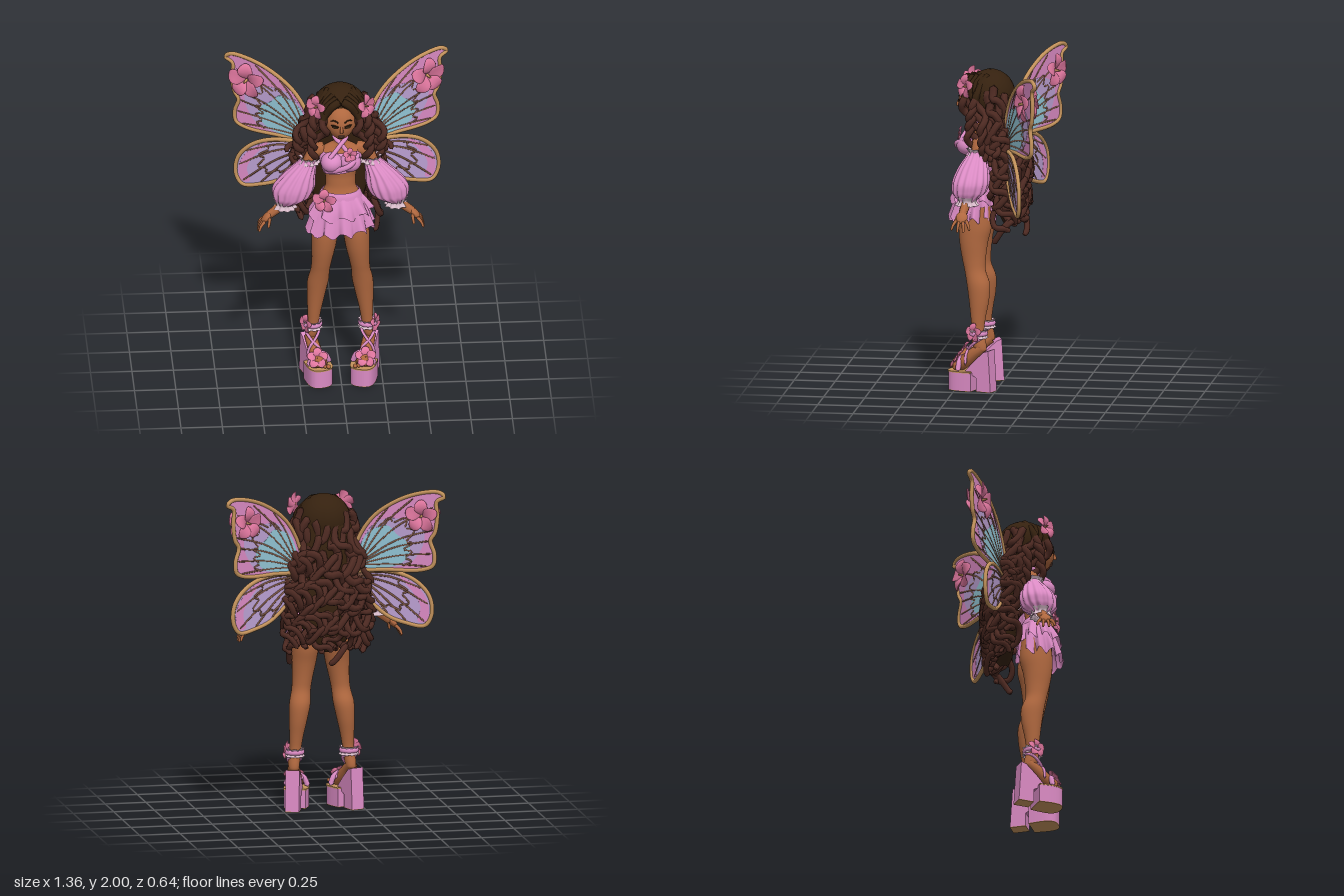
import * as THREE from 'three';
import { mergeGeometries } from 'three/addons/utils/BufferGeometryUtils.js';

const paint = (name, color, side = THREE.FrontSide) => {
  const m = new THREE.MeshStandardMaterial({ color, side });
  m.name = name;
  return m;
};
const V = (x, y, z) => new THREE.Vector3(x, y, z);

export function createModel() {
  const model = new THREE.Group();
  const skin = paint('skin', 0xb0683f), darkHair = paint('darkHair', 0x35210f), curl = paint('curlBrown', 0x4e2a22);
  const pink = paint('pink', 0xdb8bc4, THREE.DoubleSide), rose = paint('rose', 0xe0779f), gold = paint('gold', 0xc4935c);
  const lilac = paint('lilac', 0xbba0d2), cyan = paint('cyan', 0x93c6d6), pale = paint('paleTrim', 0xd9bccb, THREE.DoubleSide);
  const brown = paint('brown', 0x7a5442);

  const add = (name, geo, mat, parent = model) => {
    const mesh = new THREE.Mesh(geo, mat);
    mesh.name = name;
    parent.add(mesh);
    return mesh;
  };
  const curve = (pts, closed = false) => new THREE.CatmullRomCurve3(pts.map(p => p.isVector3 ? p : V(...p)), closed);

  // Smooth skin through elliptical rings [y, cx, cz, rx, rz], listed top down
  const loft = (rings, steps = 32, seg = 28, ripple = () => 1, drop = () => 0) => {
    const mid = curve(rings.map(r => [r[1], r[0], r[2]])), rad = curve(rings.map(r => [r[3], r[4], 0]));
    const pos = [], idx = [];
    for (let i = 0; i <= steps; i++) {
      const t = i / steps, c = mid.getPoint(t), r = rad.getPoint(t);
      for (let j = 0; j < seg; j++) {
        const a = j / seg * Math.PI * 2, k = ripple(a, t);
        pos.push(c.x + r.x * k * Math.sin(a), c.y + drop(a, t), c.z + r.y * k * Math.cos(a));
        const n = (j + 1) % seg, p = i * seg;
        if (i < steps) idx.push(p + j, p + seg + j, p + seg + n, p + j, p + seg + n, p + n);
      }
    }
    const g = new THREE.BufferGeometry();
    g.setAttribute('position', new THREE.Float32BufferAttribute(pos, 3));
    g.setIndex(idx);
    g.computeVertexNormals();
    return g;
  };

  // Tube whose radius follows a rule and which closes at both ends
  const strand = (pts, r0, r1 = r0, n = 16, radial = 7) => {
    const path = curve(pts), g = new THREE.TubeGeometry(path, n, 1, radial), p = g.attributes.position, v = V(0, 0, 0);
    for (let i = 0; i <= n; i++) {
      const c = path.getPointAt(i / n), r = i === 0 || i === n ? 0.0005 : r0 + (r1 - r0) * i / n;
      for (let j = 0; j <= radial; j++) {
        const k = i * (radial + 1) + j;
        v.fromBufferAttribute(p, k).sub(c).multiplyScalar(r).add(c);
        p.setXYZ(k, v.x, v.y, v.z);
      }
    }
    return g;
  };
  const ball = (x, y, z, rx, ry = rx, rz = rx, turn = 0) =>
    new THREE.SphereGeometry(1, 20, 14).scale(rx, ry, rz).rotateY(turn).translate(x, y, z);

  // Five cupped, overlapping petals around a gold stamen
  const flower = (name, pos, dir, r, parent = model) => {
    const g = new THREE.Group(), petals = [];
    for (let i = 0; i < 5; i++) {
      const p = new THREE.SphereGeometry(1, 12, 8).scale(0.48 * r, 0.41 * r, 0.1 * r).translate(0.55 * r, 0, 0);
      const a = p.attributes.position;
      for (let k = 0; k < a.count; k++) {
        const x = a.getX(k) / r, y = a.getY(k) / r;
        a.setZ(k, a.getZ(k) + r * (0.8 * x - 0.62 * x * x + 0.5 * y * y + 0.15 * y));
      }
      p.computeVertexNormals();
      petals.push(p.rotateZ(i * Math.PI * 0.4 + 0.3));
    }
    add('petals', mergeGeometries(petals), rose, g);
    add('stamen', new THREE.CylinderGeometry(0.05 * r, 0.08 * r, 0.35 * r, 8).rotateX(Math.PI / 2).translate(0, 0, 0.25 * r), gold, g);
    g.name = name;
    g.position.copy(V(...pos));
    g.lookAt(V(...pos).add(V(...dir)));
    parent.add(g);
  };

  // Body and head
  add('torso', loft([[1.67, 0, .12, .034, .034], [1.59, 0, .11, .037, .037], [1.56, 0, .105, .09, .045], [1.52, 0, .11, .132, .06],
    [1.45, 0, .13, .113, .075], [1.38, 0, .135, .093, .068], [1.32, 0, .14, .09, .066], [1.25, 0, .145, .118, .08],
    [1.15, 0, .14, .145, .1], [1.06, 0, .14, .13, .09], [1.01, 0, .14, .02, .02]], 48), skin);
  const face = ball(0, 0, 0, .094, .116, .1), fp = face.attributes.position;
  for (let i = 0; i < fp.count; i++) {
    const d = Math.max(0, -fp.getY(i) / .116);
    fp.setX(i, fp.getX(i) * (1 - .3 * d * d));
  }
  face.computeVertexNormals();
  add('face', face.translate(0, 1.745, .15), skin);
  add('nose', strand([[0, 1.755, .243], [0, 1.725, .254], [0, 1.71, .25]], .007, .012, 8), skin);
  add('upperLip', ball(0, 1.683, .235, .02, .005, .007), brown);
  add('lowerLip', ball(0, 1.674, .231, .017, .006, .008), brown);

  // Hair cap, inner mass and coiled locks
  add('hairCap', ball(0, 1.78, .055, .166, .162, .152), darkHair);
  add('hairMass', loft([[1.86, 0, .02, .05, .04], [1.78, 0, .01, .155, .095], [1.6, 0, -.015, .19, .095], [1.4, 0, -.045, .19, .085],
    [1.2, 0, -.055, .17, .075], [1.06, 0, -.055, .12, .055], [.99, 0, -.05, .02, .02]]), darkHair);
  let seed = 7;
  const rnd = () => (seed = (seed * 16807) % 2147483647) / 2147483647;
  const spread = curve([[.14, .085, .035], [.19, .095, .015], [.23, .105, -.02], [.238, .105, -.04], [.235, .095, -.045], [.2, .075, -.05]]);
  const locks = [], fringe = [];
  for (let i = 0; i < 26; i++) {
    const a = Math.PI * (.42 + 1.16 * (i + .5) / 26), top = 1.77 + .09 * Math.abs(Math.sin(a)) - (i % 3) * .09, end = .93 + rnd() * .2;
    const phase = rnd() * 6.28, turns = (2.6 + rnd() * 1.6) * (i % 2 ? 1 : -1), pts = [];
    for (let k = 0; k <= 36; k++) {
      const t = k / 36, y = top + (end - top) * t, p = spread.getPoint(Math.min(1, (1.86 - y) / .88));
      const w = phase + t * turns * 6.28, amp = .046 * Math.min(1, t * 5), out = 1 + (i % 2) * .05;
      const sx = Math.sin(a), cz = Math.cos(a), around = amp * 1.2 * Math.sin(w), away = amp * .8 * Math.cos(w);
      pts.push(V(sx * (p.x * out + away) + cz * around, y + .02 * Math.sin(w * 2), p.z + cz * (p.y * out + away) - sx * around));
    }
    locks.push(strand(pts, .026, .018, 72, 6));
  }
  for (const s of [-1, 1]) {
    // Smooth fringe from the parting, then coils beside the face and over the shoulder
    for (let i = 0; i < 5; i++) {
      const guide = curve([[s * (.006 + i * .014), 1.895 + i * .006, .193 - i * .034], [s * (.068 + i * .012), 1.855, .205 - i * .025], [s * (.103 + i * .017), 1.75, .195 - i * .022],
        [s * (.128 + i * .026), 1.64, .175 - i * .026], [s * (.17 + i * .026), 1.52, .135 - i * .03], [s * (.185 + i * .025), 1.38 + i * .02, .05 - i * .02]]);
      const pts = [];
      for (let k = 0; k <= 30; k++) {
        const t = k / 30, w = t * 18 + i * 2, amp = .032 * Math.min(1, t * t * 4);
        pts.push(guide.getPoint(t).add(V(s * amp * Math.cos(w), 0, amp * Math.sin(w))));
      }
      fringe.push(strand(pts.slice(0, 12), .024, .023, 24, 6));
      locks.push(strand(pts.slice(10), .024, .018, 48, 6));
    }
  }
  add('hairFringe', mergeGeometries(fringe), darkHair);
  add('hairCurls', mergeGeometries(locks), curl);

  // Wrapped top, halter and skirt
  add('cropTop', loft([[1.535, 0, .118, .118, .062], [1.49, 0, .13, .127, .08], [1.44, 0, .135, .117, .082], [1.415, 0, .138, .106, .078]],
    12, 32, () => 1, (a, t) => t * .014 * Math.sin(a)), pink);
  add('topWrap', strand([[-.1, 1.42, .18], [-.03, 1.45, .235], [.05, 1.49, .255], [.11, 1.53, .17]], .018, .016), pink);
  const skirtTier = (name, rings, wave) => add(name, loft(rings, 14, 144,
    (a, t) => 1 + t * .1 * (Math.sin(a * wave) + .3 * Math.sin(a * wave * 2 + 1)),
    (a, t) => t * (.018 * Math.sin(a * wave + 1.2) + .012 * Math.sin(a))), pink);
  skirtTier('lowerSkirt', [[1.24, 0, .145, .125, .09], [1.15, 0, .15, .168, .118], [1.08, 0, .157, .186, .13], [1.03, 0, .162, .198, .137]], 11);
  skirtTier('upperSkirt', [[1.27, 0, .145, .11, .08], [1.23, 0, .147, .137, .1], [1.18, 0, .15, .165, .122], [1.135, 0, .154, .188, .135]], 9);
  add('waistband', loft([[1.285, 0, .145, .11, .082], [1.265, 0, .145, .124, .092], [1.24, 0, .145, .134, .098]], 6, 32), pink);
  flower('hipFlower', [-.1, 1.25, .235], [-.35, .1, 1], .075);
  flower('chestFlower', [.05, 1.55, .225], [.2, .2, 1], .045);

  const shear = (s, x, z, k) => z - .06 - k * (s * x - .17);
  for (const s of [-1, 1]) {
    const side = s > 0 ? 'left' : 'right', part = new THREE.Group();
    part.name = side + 'Side';
    model.add(part);
    const put = (name, geo, mat) => add(side + name, geo, mat, part);
    const mir = pts => pts.map(p => [s * p[0], p[1], p[2]]);
    const ring = rings => rings.map(r => [r[0], s * r[1], ...r.slice(2)]);

    // Face details
    put('Eye', ball(s * .038, 1.745, .241, .021, .009, .004, s * .38), darkHair);
    put('Eyelid', strand(mir([[.016, 1.748, .248], [.038, 1.757, .243], [.063, 1.754, .228]]), .004), darkHair);
    put('Brow', strand(mir([[.018, 1.775, .245], [.04, 1.787, .235], [.066, 1.78, .217]]), .005, .003), darkHair);
    flower(side + 'HairFlower', [s * .143, 1.858, .18], [s * .8, .15, .8], .074, part);

    // Bust and halter strap
    put('Cup', ball(s * .055, 1.482, .185, .068, .06, .07), pink);
    put('Strap', strand(mir([[.075, 1.52, .225], [.035, 1.56, .2], [0, 1.595, s > 0 ? .165 : .175], [-.035, 1.625, .135], [-.03, 1.635, .09]]), .014), pink);

    // Arm, puff sleeve and hand
    put('UpperArm', strand(mir([[.09, 1.535, .105], [.135, 1.53, .105], [.17, 1.49, .105], [.2, 1.42, .11], [.24, 1.34, .12]]), .045, .036), skin);
    put('Sleeve', loft(ring([[1.475, .183, .11, .05, .05], [1.455, .195, .112, .055, .055], [1.38, .245, .125, .092, .09], [1.3, .282, .135, .122, .108],
      [1.245, .298, .143, .108, .1], [1.21, .32, .15, .07, .068], [1.19, .335, .15, .045, .045]]), 28, 112,
    (a, t) => 1 + .05 * Math.sin(a * 14)), pink);
    const ruffle = (name, y, x, z, r, h, m) => put(name, loft(ring([[y + h, x, z, r * 1.25, r * 1.25], [y, x, z, r, r], [y - h, x, z, r * 1.3, r * 1.3]]),
      8, 60, a => 1 + .1 * Math.sin(a * 10)), m);
    ruffle('SleeveTopRuffle', 1.47, .185, .11, .05, .02, pale);
    ruffle('CuffRuffle', 1.195, .335, .15, .053, .026, pale);
    put('Forearm', strand(mir([[.31, 1.23, .145], [.36, 1.18, .155], [.405, 1.145, .162], [.44, 1.12, .166]]), .033, .025), skin);
    put('Palm', ball(0, 0, 0, .02, .042, .036).rotateZ(s * .7).translate(s * .448, 1.112, .167), skin);
    for (let i = 0; i < 4; i++) {
      const z = .14 + i * .019, f = (i - 1.5) * .012, l = i === 0 || i === 3 ? .012 : 0;
      put('Finger' + (i + 1), strand(mir([[.458, 1.1, z], [.485, 1.07, z + f], [.502 - l / 2, 1.028 + l, z + f * 1.5]]), .0115, .007, 10), skin);
    }
    put('Thumb', strand(mir([[.43, 1.12, .19], [.435, 1.085, .208], [.44, 1.06, .215]]), .012, .008, 10), skin);

    // Leg and foot
    put('Leg', loft(ring([[1.12, .085, .135, .075, .09], [1, .094, .135, .08, .1], [.9, .102, .143, .074, .087], [.8, .113, .14, .062, .072], [.73, .122, .132, .058, .064],
      [.65, .134, .111, .064, .07], [.55, .146, .105, .055, .061], [.45, .156, .108, .042, .046], [.36, .163, .108, .034, .037],
      [.29, .173, .1, .035, .043], [.25, .176, .09, .03, .035], [.235, .176, .09, .004, .004]]), 48, 24), skin);
    put('Foot', strand(mir([[.182, .268, .07], [.17, .235, .12], [.147, .175, .19], [.13, .148, .24], [.125, .142, .265]]), .036, .046, 16, 10), skin);
    for (let i = 0; i < 5; i++) put('Toe' + (i + 1), ball(s * (.08 + i * .021), .138, .273 - i * .007, .013 - i * .001, .012, .018), skin);

    // Platform shoe, toed in slightly
    const shoe = new THREE.Group();
    shoe.name = side + 'Shoe';
    shoe.position.set(s * .154, 0, .148);
    shoe.rotation.y = -s * .34;
    part.add(shoe);
    const sole = (w, z0, z1) => {
      const o = new THREE.Shape();
      o.moveTo(-w * .85, -z0).lineTo(w * .85, -z0);
      o.bezierCurveTo(w * 1.05, -z1 + .06, w * 1.05, -z1, 0, -z1);
      o.bezierCurveTo(-w * 1.05, -z1, -w * 1.05, -z1 + .06, -w * .85, -z0);
      return o;
    };
    const slab = (w, z0, z1, y, h) => new THREE.ExtrudeGeometry(sole(w, z0, z1), { depth: h, bevelEnabled: false, curveSegments: 16 }).rotateX(-Math.PI / 2).translate(0, y, 0);
    add('platform', slab(.078, -.025, .145, .004, .108), pink, shoe);
    add('platformSole', slab(.078, -.025, .145, 0, .004), gold, shoe);
    add('insole', slab(.08, -.02, .148, .112, .008), gold, shoe);
    const heel = new THREE.Shape([[-.148, .004], [-.05, .004], [-.05, .085], [-.02, .1], [.03, .115], [-.035, .185], [-.1, .245], [-.132, .255]].map(p => new THREE.Vector2(...p)));
    add('heel', new THREE.ExtrudeGeometry(heel, { depth: .084, bevelEnabled: false }).translate(0, 0, -.042).rotateY(-Math.PI / 2), pink, shoe);
    add('heelSole', new THREE.BoxGeometry(.084, .004, .098).translate(0, .002, -.099), gold, shoe);
    add('toeStrap', strand([[-.07, .12, .06], [-.045, .175, .062], [0, .198, .062], [.045, .175, .062], [.07, .12, .06]], .017), pink, shoe);
    flower(side + 'ToeFlower', [s * .145, .175, .235], [0, .7, 1], .065, part);
    for (const d of [-1, 1]) put(d > 0 ? 'AnkleStrapOuter' : 'AnkleStrapInner',
      strand(mir([[.152 + d * .055, .16, .18], [.163 + d * .025, .225, .178], [.167 - d * .012, .265, .158], [.168 - d * .04, .31, .11], [.17, .335, .058]]), .009), pink);
    ruffle('AnkleRuffle', .35, .167, .108, .045, .025, pale);
    put('AnkleBand', new THREE.TorusGeometry(.045, .016, 8, 24).rotateX(Math.PI / 2).translate(s * .167, .352, .108), pink);
    flower(side + 'AnkleFlower', [s * .2, .36, .125], [s, .1, .6], .058, part);

    // Wings: rimmed membranes with tinted cells and veins
    const wing = (name, k, outline, base, cells, root, tips) => {
      const loop = (pts) => curve(pts.map(p => [s * p[0], p[1], 0]), true).getPoints(90);
      const sheet = (label, pts, depth, mat) => {
        const g = new THREE.ExtrudeGeometry(new THREE.Shape(loop(pts).map(p => new THREE.Vector2(p.x, p.y))), { depth, bevelEnabled: false }).translate(0, 0, -depth / 2);
        const a = g.attributes.position;
        for (let i = 0; i < a.count; i++) a.setZ(i, shear(s, a.getX(i), a.getZ(i), k));
        g.computeVertexNormals();
        put(name + label, g, mat);
      };
      const at = (x, y) => V(s * x, y, shear(s, s * x, 0, k));
      sheet('Membrane', outline, .004, base);
      cells.forEach(([mat, pts], i) => sheet('Cell' + i, pts, .0065 + i * .0025, mat));
      put(name + 'Rim', new THREE.TubeGeometry(curve(outline.map(p => at(...p)), true), 120, .013, 8, true), gold);
      const blend = (a, b, q) => a + (b - a) * q;
      const along = ([x, y], f) => at(blend(root[0], x, f), blend(root[1], y, f));
      put(name + 'Veins', mergeGeometries(tips.map(([x, y, bend]) =>
        strand([at(...root), at((root[0] + x) / 2, (root[1] + y) / 2 + bend), at(x, y)], .0072, .006, 20, 6)
      ).concat(tips.slice(1).map((p, i) => {
        // Scalloped cross vein joining neighbouring ribs
        const q = tips[i], m = [(p[0] + q[0]) / 2, (p[1] + q[1]) / 2];
        return strand([along(p, .62), along(m, .74), along(q, .62)], .0065, .0065, 10, 6);
      }))), brown);
    };
    wing('UpperWing', .5, [[.16, 1.51], [.18, 1.66], [.27, 1.82], [.42, 1.935], [.56, 1.985], [.64, 1.988], [.668, 1.962], [.625, 1.93], [.628, 1.84], [.615, 1.74],
      [.59, 1.69], [.612, 1.61], [.605, 1.54], [.55, 1.51], [.36, 1.5]], pink,
    [[lilac, [[.2, 1.53], [.22, 1.7], [.31, 1.8], [.45, 1.81], [.55, 1.75], [.55, 1.67], [.53, 1.62], [.49, 1.56], [.43, 1.525]]],
      [cyan, [[.18, 1.52], [.2, 1.64], [.25, 1.73], [.35, 1.77], [.4, 1.72], [.47, 1.66], [.46, 1.58], [.39, 1.525]]]],
    [.18, 1.52], [[.36, 1.89, .05], [.5, 1.95, .05], [.61, 1.9, .05], [.615, 1.76, .04], [.59, 1.69, .03], [.605, 1.61, .02], [.58, 1.53, .01]]);
    wing('LowerWing', .33, [[.15, 1.46], [.26, 1.488], [.42, 1.475], [.53, 1.42], [.6, 1.33], [.61, 1.22], [.57, 1.155], [.46, 1.17], [.36, 1.21], [.25, 1.31]], lilac,
      [[pink, [[.42, 1.46], [.52, 1.4], [.575, 1.33], [.595, 1.25], [.58, 1.18], [.53, 1.18], [.545, 1.27], [.5, 1.36]]]],
      [.17, 1.46], [[.46, 1.455, .02], [.56, 1.38, .03], [.6, 1.28, .035], [.58, 1.17, .03], [.47, 1.175, .02], [.36, 1.22, .01]]);
    flower(side + 'WingFlower', [s * .54, 1.84, -.236], [s * .5, 0, 1], .115, part);
    flower(side + 'WingBackFlower', [s * .54, 1.84, -.254], [-s * .5, 0, -1], .1, part);
  }
  return model;
}
